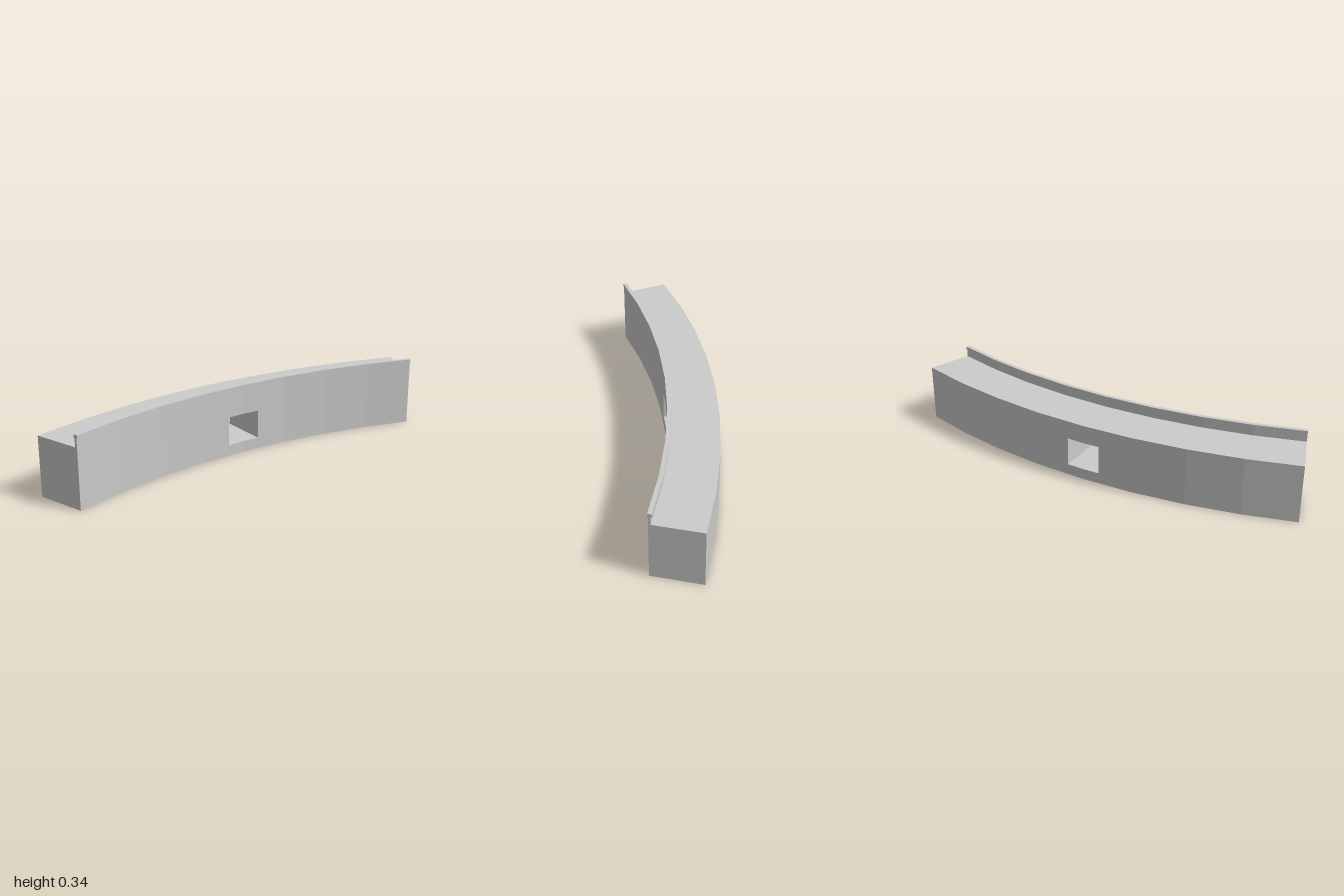
import * as THREE from 'three';

const CENTRE_X = 3.044;              // arc centre lies on the +x side
const HALF = Math.PI / 10;           // half of the 36 degree arc
const STEP = HALF / 4;               // 8 straight facets
const OUTER = 3.236, INNER = 3.003;
const HOLE_Z = 0.083, HOLE_LOW = 0.053, HOLE_HIGH = 0.191, DECK = 0.28;

// Stations map a radius to a point in plan
const atAngle = a => r => [CENTRE_X - r * Math.cos(a), r * Math.sin(a)];
const atHole = s => r => [CENTRE_X - r + HOLE_Z * Math.tan(STEP / 2), s * HOLE_Z];

// Profiles as [radius, height], starting at the outer bottom corner
const rim = [
  [OUTER, DECK], [3.014, DECK], [3.014, 0.32], [3.019, 0.32],
  [3.019, 0.335], [3.0, 0.335], [3.0, 0.32], [INNER, 0.32],
];
const fullProfile = [[OUTER, 0], ...rim, [INNER, 0]];
const upperProfile = [[OUTER, HOLE_HIGH], ...rim, [INNER, HOLE_HIGH]];
const rect = (low, high) => [[OUTER, low], [OUTER, high], [INNER, high], [INNER, low]];

const place = (station, [r, y]) => {
  const [x, z] = station(r);
  return [x, y, z];
};

// Sweep a closed profile along stations ordered by rising z
function sweep(out, profile, stations) {
  for (let s = 0; s < stations.length - 1; s++) {
    profile.forEach((p, i) => {
      const q = profile[(i + 1) % profile.length];
      const a = place(stations[s], p), b = place(stations[s], q);
      const c = place(stations[s + 1], q), d = place(stations[s + 1], p);
      out.push(...a, ...d, ...c, ...a, ...c, ...b);
    });
  }
}

// Close a profile at one station; facing is the sign of its z direction
function cap(out, profile, station, facing) {
  const contour = profile.map(p => new THREE.Vector2(...p));
  for (const [i, j, k] of THREE.ShapeUtils.triangulateShape(contour, [])) {
    const order = facing < 0 ? [i, j, k] : [i, k, j];
    order.forEach(n => out.push(...place(station, profile[n])));
  }
}

function addMesh(group, name, positions, material) {
  const geometry = new THREE.BufferGeometry();
  geometry.setAttribute('position', new THREE.Float32BufferAttribute(positions, 3));
  geometry.computeVertexNormals();
  const mesh = new THREE.Mesh(geometry, material);
  mesh.name = name;
  group.add(mesh);
}

export function createModel() {
  const group = new THREE.Group();
  group.name = 'curvedWallSegment';
  const material = new THREE.MeshStandardMaterial({ color: 0xcccccc, flatShading: true });

  // Two solid wings with end faces and the side walls of the opening
  for (const side of [-1, 1]) {
    const stations = [atHole(side)];
    for (let i = 1; i <= 4; i++) stations.push(atAngle(side * i * STEP));
    const end = stations[4];
    if (side < 0) stations.reverse();
    const positions = [];
    sweep(positions, fullProfile, stations);
    cap(positions, fullProfile, end, side);
    cap(positions, rect(HOLE_LOW, HOLE_HIGH), atHole(side), -side);
    addMesh(group, side > 0 ? 'frontWing' : 'backWing', positions, material);
  }

  // Bridging pieces below and above the opening
  const middle = [atHole(-1), atAngle(0), atHole(1)];
  const sill = [], lintel = [];
  sweep(sill, rect(0, HOLE_LOW), middle);
  sweep(lintel, upperProfile, middle);
  addMesh(group, 'openingSill', sill, material);
  addMesh(group, 'openingLintel', lintel, material);

  return group;
}
